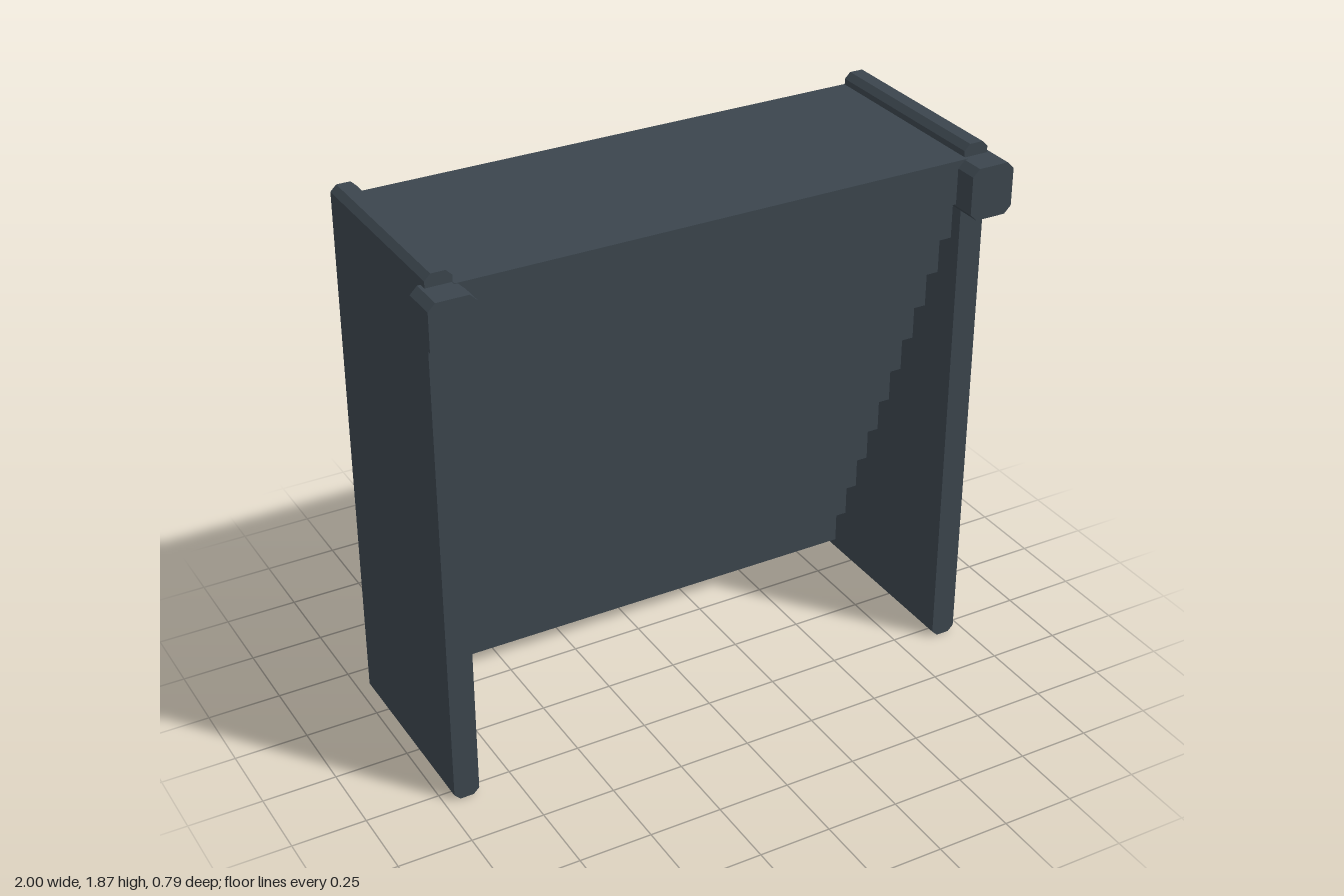
import * as THREE from 'three';

// Rectangle with cut corners, centred on the origin
function chamferedRect(w, h, c) {
  const x = w / 2, y = h / 2;
  return new THREE.Shape([
    [-x + c, -y], [x - c, -y], [x, -y + c], [x, y - c],
    [x - c, y], [-x + c, y], [-x, y - c], [-x, -y + c],
  ].map(([a, b]) => new THREE.Vector2(a, b)));
}

// Chamfered bar running along z from z0 to z1
function chamferedBar(w, y0, y1, z0, z1, c) {
  const geo = new THREE.ExtrudeGeometry(chamferedRect(w, y1 - y0, c), {
    depth: z1 - z0, bevelEnabled: false,
  });
  return geo.translate(0, (y0 + y1) / 2, z0);
}

export function createModel() {
  const group = new THREE.Group();
  const slate = new THREE.MeshStandardMaterial({ color: 0x3b454d });
  slate.name = 'dark slate';

  const add = (name, geo, x = 0) => {
    const mesh = new THREE.Mesh(geo, slate);
    mesh.name = name;
    mesh.position.x = x;
    group.add(mesh);
  };

  // Overhanging courses: each one down is set further back
  const courses = 12, bottom = 0.05, top = 1.83, back = -0.393, front = 0.313;
  const rise = (top - bottom) / courses, run = (front - back) / courses;
  const profile = new THREE.Shape();
  profile.moveTo(back, bottom);
  for (let i = 0; i < courses; i++) {
    const z = back + run * (i + 1);
    profile.lineTo(z, bottom + rise * i);
    profile.lineTo(z, bottom + rise * (i + 1));
  }
  profile.lineTo(back, top);
  const halfWidth = 0.88;
  const steps = new THREE.ExtrudeGeometry(profile, { depth: halfWidth * 2, bevelEnabled: false });
  steps.rotateY(-Math.PI / 2).translate(halfWidth, 0, 0);
  add('steppedCourses', steps);

  // Side walls and the blocks capping their front upper corners
  for (const [side, s] of [['left', 1], ['right', -1]]) {
    add(side + 'Wall', chamferedBar(0.087, 0, 1.87, -0.39, 0.297, 0.02), s * 0.9215);
    add(side + 'CornerBlock', chamferedBar(0.154, 1.652, 1.828, 0.27, 0.393, 0.024), s * 0.923);
  }
  return group;
}
